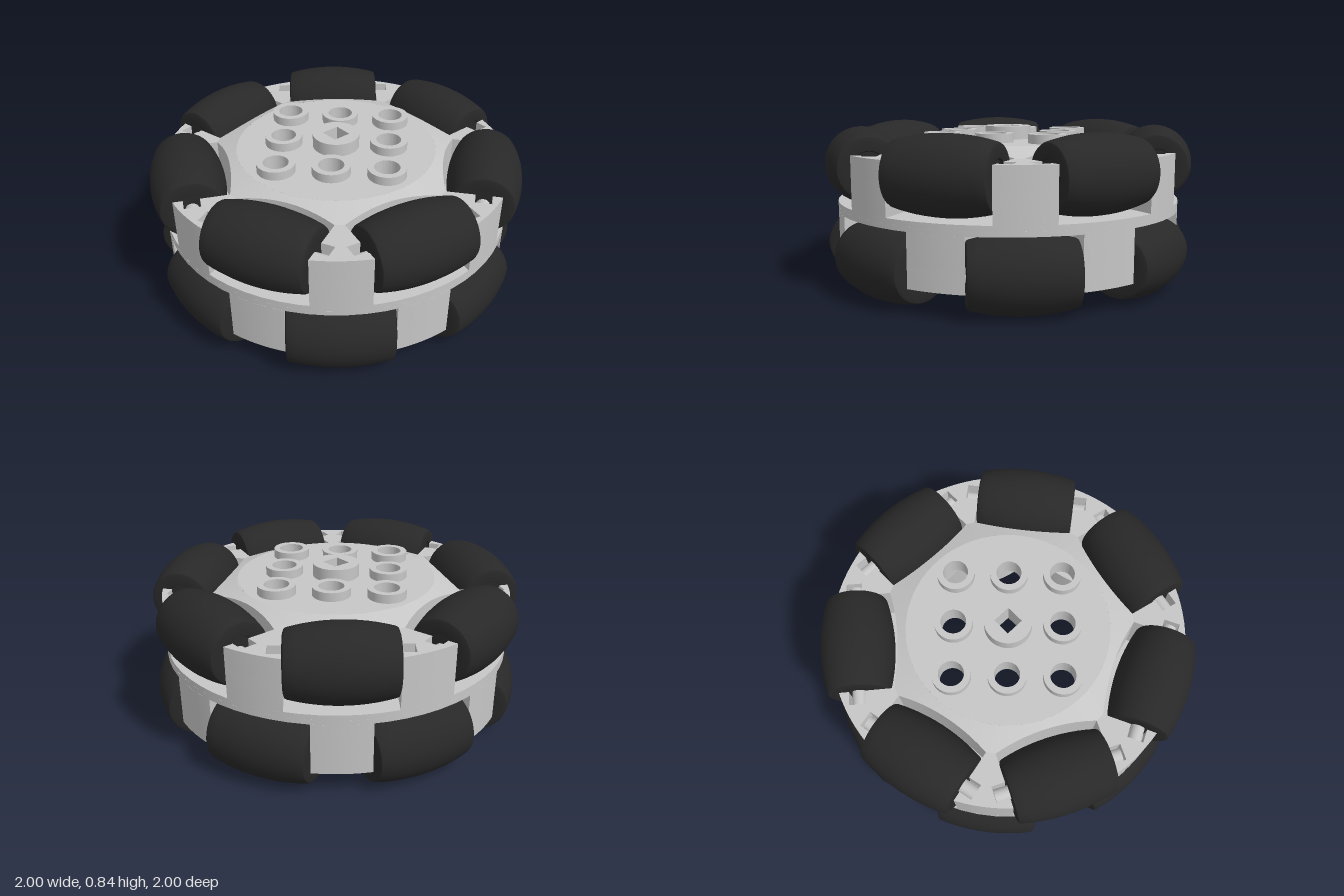
import * as THREE from 'three';
import { toCreasedNormals } from 'three/addons/utils/BufferGeometryUtils.js';

const COUNT = 7, STEP = (Math.PI * 2) / COUNT;
const RIM = 0.935, HALF = 0.268, MID = 0.422;   // rim radius, half pocket width, middle height
const ROLLER_R = 0.803, ROLLER_Y = 0.226;       // roller centre, relative to the middle

export function createModel() {
  const grey = new THREE.MeshStandardMaterial({ color: 0xc6c6c6 });
  grey.name = 'light grey plastic';
  const black = new THREE.MeshStandardMaterial({ color: 0x282828 });
  black.name = 'black rubber';

  const add = (parent, name, geometry, material) => {
    const mesh = new THREE.Mesh(geometry, material);
    mesh.name = name;
    parent.add(mesh);
    return mesh;
  };
  // Flat shape pulled up from y0 to y1
  const slab = (shape, y0, y1) => {
    const g = new THREE.ExtrudeGeometry(shape, { depth: y1 - y0, bevelEnabled: false, curveSegments: 32 });
    g.rotateX(-Math.PI / 2).translate(0, y0, 0);
    return toCreasedNormals(g, 0.5);
  };
  const turn = (x, y, a) => new THREE.Vector2(
    x * Math.cos(a) - y * Math.sin(a), x * Math.sin(a) + y * Math.cos(a));

  // Curved inner side of one roller pocket facing +x
  const pocket = [];
  for (let i = 0; i <= 10; i++) {
    const z = HALF * (i / 5 - 1);
    pocket.push([0.58 + 0.45 * z * z, z]);
  }
  // Closed loop along all pocket insides, moved towards the centre by inset
  const innerLoop = (inset) => {
    const pts = [];
    for (let k = 0; k < COUNT; k++) {
      for (const [x, z] of pocket) {
        const p = turn(x, z, k * STEP);
        pts.push(p.setLength(p.length() - inset));
      }
    }
    return pts;
  };
  // Star outline with pockets; slots hold the axle ends
  const starShape = (slots) => {
    const pts = [];
    const edge = Math.sqrt(RIM * RIM - HALF * HALF), a0 = Math.asin(HALF / RIM);
    const side = slots
      ? [[edge, HALF], [0.845, HALF], [0.845, 0.338], [0.761, 0.338], [0.761, HALF]]
      : [[edge, HALF]];
    for (let k = 0; k < COUNT; k++) {
      const a = k * STEP;
      side.forEach(([x, z]) => pts.push(turn(x, -z, a)));
      pocket.forEach(([x, z]) => pts.push(turn(x, z, a)));
      [...side].reverse().forEach(([x, z]) => pts.push(turn(x, z, a)));
      for (let i = 1; i < 6; i++) pts.push(turn(RIM, 0, a + a0 + (STEP - 2 * a0) * i / 6));
    }
    return new THREE.Shape(pts);
  };
  const hollow = (shape) => {
    shape.holes.push(new THREE.Path(innerLoop(0.03)));
    return shape;
  };

  // Barrel roller whose bulge follows the wheel's outer circle
  const profile = [[0.035, -0.25], [0.085, -0.25], [0.09, -0.262], [0.14, -0.266], [0.158, -0.26]];
  for (let i = 0; i <= 12; i++) {
    const z = 0.25 * (i / 6 - 1);
    profile.push([Math.sqrt(1 - z * z) - ROLLER_R - 0.001, z]);
  }
  profile.push([0.158, 0.26], [0.14, 0.266], [0.09, 0.262], [0.085, 0.25], [0.035, 0.25]);
  const rollerGeo = toCreasedNormals(
    new THREE.LatheGeometry(profile.map(([r, z]) => new THREE.Vector2(r, z)), 40).rotateX(Math.PI / 2), 0.6);
  const axleGeo = new THREE.CylinderGeometry(0.036, 0.036, 0.67, 20).rotateX(Math.PI / 2);

  // One half of the wheel: rim plate, posts, slotted post ends and rollers
  const disc = new THREE.Shape().absarc(0, 0, RIM, 0, Math.PI * 2);
  const plateGeo = slab(hollow(disc), 0, 0.026);
  const postGeo = slab(hollow(starShape(false)), 0.026, 0.185);
  const slotGeo = slab(hollow(starShape(true)), 0.185, 0.296);
  const makeRow = (name) => {
    const row = new THREE.Group();
    row.name = name;
    row.position.y = MID;
    add(row, 'rimPlate', plateGeo, grey);
    add(row, 'posts', postGeo, grey);
    add(row, 'slottedPostEnds', slotGeo, grey);
    for (let k = 0; k < COUNT; k++) {
      const unit = new THREE.Group();
      unit.name = 'rollerUnit';
      unit.rotation.y = k * STEP;
      row.add(unit);
      add(unit, 'roller', rollerGeo, black).position.set(ROLLER_R, ROLLER_Y, 0);
      add(unit, 'axle', axleGeo, grey).position.set(ROLLER_R, ROLLER_Y, 0);
    }
    return row;
  };
  const model = new THREE.Group();
  model.name = 'rollerWheel';
  const upper = makeRow('upperRow'), lower = makeRow('lowerRow');
  lower.rotation.set(Math.PI, STEP / 2, 0);
  model.add(upper, lower);

  // Sloped collar from the hub disc out to the pockets
  const HUB_R = 0.535, HUB_Y = 0.765, POST_Y = MID + 0.296, UNDER = 0.7;
  const loop = innerLoop(0), pos = [], idx = [];
  const far = Math.hypot(...pocket[0]);
  loop.forEach((p, i) => {
    const r = p.length(), c = p.x / r, s = p.y / r;
    const top = HUB_Y + (POST_Y - HUB_Y) * (r - HUB_R) / (far - HUB_R);
    const section = [[HUB_R, HUB_Y], [r, top], [r, UNDER], [HUB_R, UNDER]];
    section.forEach(([q, y]) => pos.push(q * c, y, -q * s));
    const a = i * 4, b = ((i + 1) % loop.length) * 4;
    for (let j = 0; j < 3; j++) idx.push(a + j, a + j + 1, b + j, b + j, a + j + 1, b + j + 1);
  });
  const collar = new THREE.BufferGeometry();
  collar.setAttribute('position', new THREE.Float32BufferAttribute(pos, 3));
  collar.setIndex(idx);
  add(model, 'hubCollar', toCreasedNormals(collar, 0.4), grey);

  // Hub disc with bolt holes and a square centre hole
  const square = () => new THREE.Path([[-1, -1], [1, -1], [1, 1], [-1, 1]]
    .map(([x, y]) => new THREE.Vector2(x * 0.05, y * 0.05)));
  const round = (x, y, r) => new THREE.Path().absarc(x, y, r, 0, Math.PI * 2);
  const bolts = [[0.4, 0], [-0.4, 0], [0, 0.4], [0, -0.4], [0.2, 0.2], [-0.2, 0.2], [0.2, -0.2], [-0.2, -0.2]];
  const hub = new THREE.Shape().absarc(0, 0, HUB_R, 0, Math.PI * 2);
  hub.holes.push(square(), ...bolts.map(([x, y]) => round(x, y, 0.066)));
  add(model, 'hubDisc', slab(hub, UNDER, HUB_Y), grey);

  // Raised bosses around the holes
  const boss = new THREE.Shape().absarc(0, 0, 0.1, 0, Math.PI * 2);
  boss.holes.push(round(0, 0, 0.066));
  const bossGeo = slab(boss, HUB_Y, 0.812);
  bolts.forEach(([x, z]) => add(model, 'boltBoss', bossGeo, grey).position.set(x, 0, z));
  const centre = new THREE.Shape().absarc(0, 0, 0.125, 0, Math.PI * 2);
  centre.holes.push(square());
  add(model, 'centreBoss', slab(centre, HUB_Y, 0.836), grey);

  return model;
}
